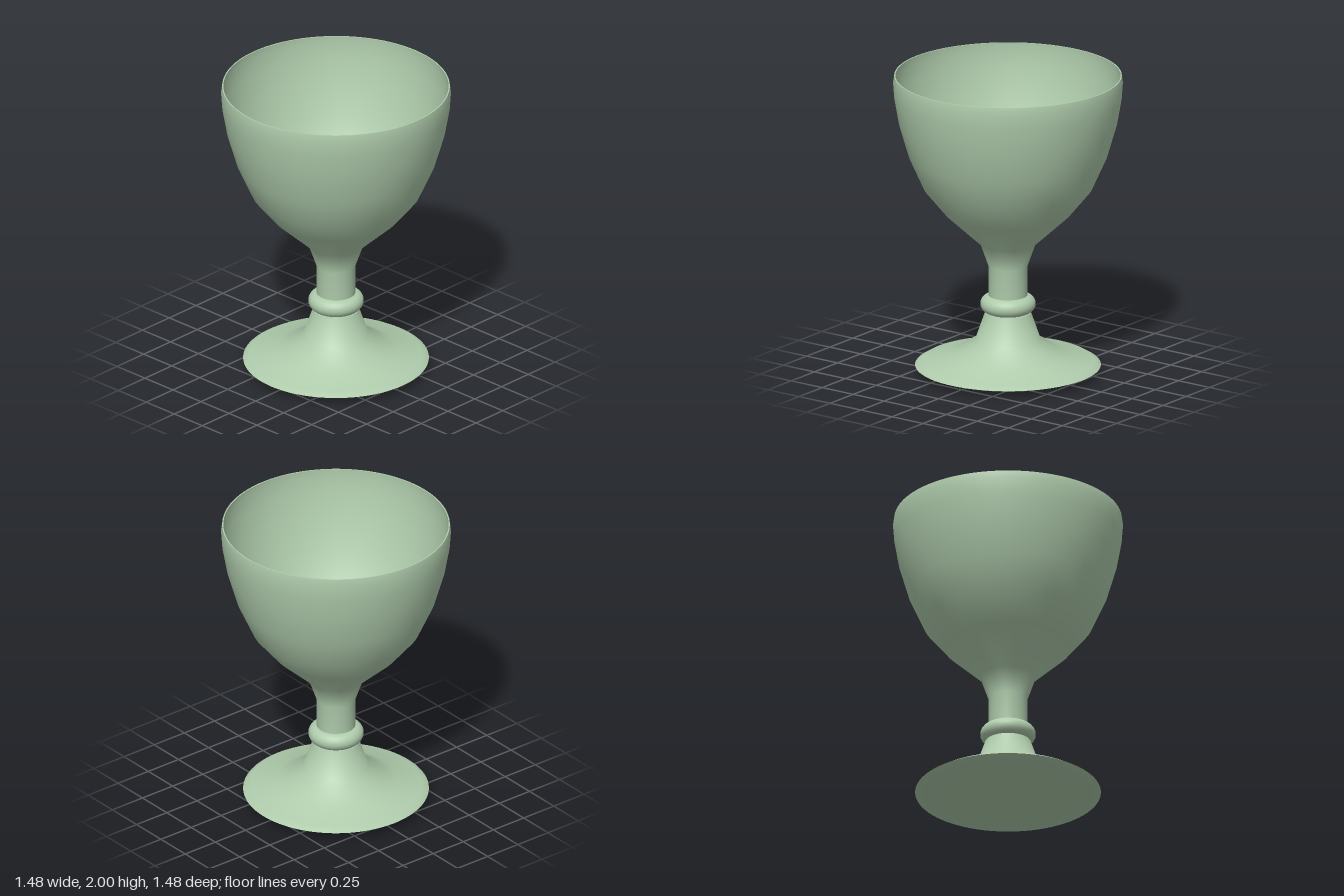
import * as THREE from 'three';

const SEGMENTS = 96;

export function createModel() {
  const group = new THREE.Group();
  group.name = 'goblet';
  const glaze = new THREE.MeshStandardMaterial({ color: 0xafccac });
  glaze.name = 'pale green';

  const add = (name, geometry) => {
    const mesh = new THREE.Mesh(geometry, glaze);
    mesh.name = name;
    group.add(mesh);
    return mesh;
  };
  // Spin a [radius, height] profile; upward order faces outward
  const turn = (name, profile) =>
    add(name, new THREE.LatheGeometry(profile.map(([r, y]) => new THREE.Vector2(r, y)), SEGMENTS));

  // Bowl and stem, outside
  turn('bowlOutside', [
    [0.125, 0.42], [0.125, 0.712], [0.178, 0.865], [0.407, 1.077], [0.545, 1.246],
    [0.642, 1.463], [0.705, 1.68], [0.735, 1.85], [0.742, 1.95], [0.735, 2],
  ]);
  // Thin lip
  turn('rim', [[0.735, 2], [0.727, 2]]);
  // Hollow inside, running down into the stem
  turn('bowlInside', [
    [0.727, 2], [0.73, 1.95], [0.722, 1.85], [0.691, 1.685], [0.627, 1.472],
    [0.531, 1.261], [0.395, 1.095], [0.155, 0.878], [0.098, 0.715], [0.098, 0.42],
  ]);
  // Floor of the hollow stem
  turn('stemFloor', [[0.15, 0.405], [0, 0.405]]);

  // Ring around the stem
  const ring = add('stemRing', new THREE.TorusGeometry(0.121, 0.058, 24, SEGMENTS));
  ring.rotation.x = Math.PI / 2;
  ring.position.y = 0.462;

  // Flared foot
  turn('footTop', [
    [0.6, 0.05], [0.555, 0.077], [0.388, 0.114], [0.21, 0.225], [0.148, 0.405],
  ]);
  // Shallow convex underside
  turn('footBottom', [[0, 0], [0.25, 0.007], [0.52, 0.023], [0.6, 0.05]]);

  return group;
}
